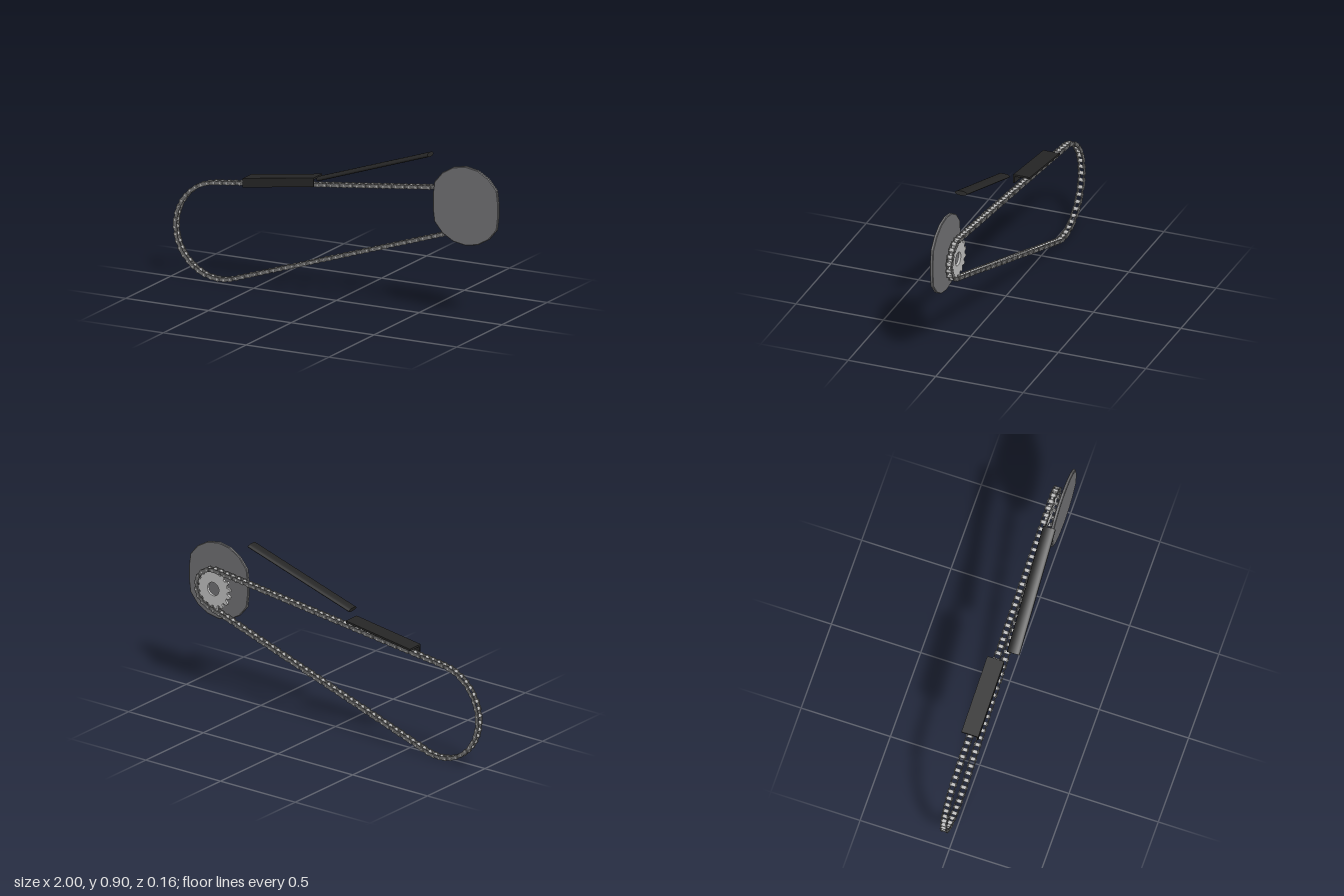
import * as THREE from 'three';
import { mergeGeometries } from 'three/addons/utils/BufferGeometryUtils.js';

const mat = (name, color) => Object.assign(new THREE.MeshStandardMaterial({ color }), { name });

export function createModel() {
  const model = new THREE.Group();
  model.name = 'chainDrive';
  const black = mat('black plastic', 0x252525);
  const discGrey = mat('disc grey', 0x6e6e70);
  const plateGrey = mat('chain steel', 0x6c6c6c);
  const silver = mat('bright steel', 0xbcbcbc);

  const add = (name, geometry, material, parent = model) => {
    const mesh = new THREE.Mesh(geometry, material);
    mesh.name = name;
    parent.add(mesh);
    return mesh;
  };
  const extrude = (shape, depth, options = {}) =>
    new THREE.ExtrudeGeometry(shape, { depth, bevelEnabled: false, curveSegments: 5, ...options })
      .translate(0, 0, -depth / 2);

  // Chain loop: two circles joined by their outer tangents
  const rear = { x: -0.722, y: 0.278, r: 0.265 };
  const front = { x: 0.786, y: 0.608, r: 0.109 };
  const chainZ = -0.036;
  const dx = front.x - rear.x, dy = front.y - rear.y;
  const axis = Math.atan2(dy, dx);
  const spread = Math.acos((rear.r - front.r) / Math.hypot(dx, dy));
  const loop = new THREE.Path();
  loop.absarc(rear.x, rear.y, rear.r, axis + spread, axis - spread + Math.PI * 2, false);
  loop.absarc(front.x, front.y, front.r, axis - spread, axis + spread, false);
  loop.closePath();
  const links = 108;
  const joints = loop.getSpacedPoints(links);

  // Chain: alternating inner and outer plates, with a roller and pin at each joint
  const linkRadius = 0.0135;
  const plates = [], rollers = [];
  for (let i = 0; i < links; i++) {
    const a = joints[i], b = joints[i + 1];
    const half = a.distanceTo(b) / 2;
    const angle = Math.atan2(b.y - a.y, b.x - a.x);
    const outline = new THREE.Shape();
    outline.absarc(half, 0, linkRadius, -Math.PI / 2.6, Math.PI / 2.6, false);
    outline.lineTo(0, linkRadius * 0.7);
    outline.absarc(-half, 0, linkRadius, Math.PI - Math.PI / 2.6, Math.PI + Math.PI / 2.6, false);
    outline.lineTo(0, -linkRadius * 0.7);
    const offset = i % 2 ? 0.0165 : 0.0125;
    for (const side of [-1, 1]) {
      plates.push(extrude(outline, 0.0035).rotateZ(angle)
        .translate((a.x + b.x) / 2, (a.y + b.y) / 2, chainZ + side * offset));
    }
    for (const [radius, length, sides] of [[0.0105, 0.021, 10], [0.005, 0.041, 8]]) {
      rollers.push(new THREE.CylinderGeometry(radius, radius, length, sides)
        .rotateX(Math.PI / 2).translate(a.x, a.y, chainZ));
    }
  }
  const chain = new THREE.Group();
  chain.name = 'chain';
  model.add(chain);
  add('chainPlates', mergeGeometries(plates), plateGrey, chain);
  add('chainRollers', mergeGeometries(rollers), silver, chain);

  // Toothed sprocket with a centre bore
  const gear = new THREE.Shape();
  const teeth = 16;
  for (let i = 0; i < teeth; i++) {
    [[0.094, 0], [0.094, 0.3], [0.114, 0.5], [0.114, 0.8]].forEach(([r, t], k) => {
      const a = ((i + t) / teeth) * Math.PI * 2;
      gear[i + k ? 'lineTo' : 'moveTo'](r * Math.cos(a), r * Math.sin(a));
    });
  }
  gear.closePath();
  gear.holes.push(new THREE.Path().absarc(0, 0, 0.038, 0, Math.PI * 2, true));
  add('sprocket', extrude(gear, 0.014, { curveSegments: 16 }), silver)
    .position.set(front.x, front.y, chainZ);

  // Faceted cover disc, flattened at both sides
  const rim = [];
  for (let i = 0; i < 18; i++) {
    const a = ((i + 0.5) / 18) * Math.PI * 2;
    rim.push(new THREE.Vector2(
      THREE.MathUtils.clamp(0.214 * Math.cos(a), -0.194, 0.194), 0.214 * Math.sin(a)));
  }
  add('coverDisc', extrude(new THREE.Shape(rim), 0.011,
    { bevelEnabled: true, bevelThickness: 0.003, bevelSize: 0.004, bevelSegments: 1 }),
  discGrey).position.set(0.798, 0.634, 0.026);

  // Angled chain guard: top plate with a deep front flange, ends kept upright
  const guard = new THREE.Group();
  guard.name = 'chainGuard';
  model.add(guard);
  const strip = (drop) => new THREE.Shape([
    new THREE.Vector2(-0.56, 0.6 - drop), new THREE.Vector2(-0.132, 0.66 - drop),
    new THREE.Vector2(-0.132, 0.66), new THREE.Vector2(-0.56, 0.6)]);
  add('guardTop', extrude(strip(0.011), 0.094), black, guard).position.z = -0.035;
  add('guardFlange', extrude(strip(0.05), 0.008), black, guard).position.z = 0.008;

  // Flattened oval bar, tilted up and slightly turned
  const start = new THREE.Vector3(-0.079, 0.672, 0.045);
  const end = new THREE.Vector3(0.581, 0.889, 0.024);
  const bar = add('upperBar', new THREE.CylinderGeometry(1, 1, start.distanceTo(end), 20)
    .rotateZ(-Math.PI / 2).scale(1, 0.012, 0.035), black);
  bar.position.copy(start).add(end).multiplyScalar(0.5);
  bar.quaternion.setFromUnitVectors(new THREE.Vector3(1, 0, 0), end.clone().sub(start).normalize());

  return model;
}
